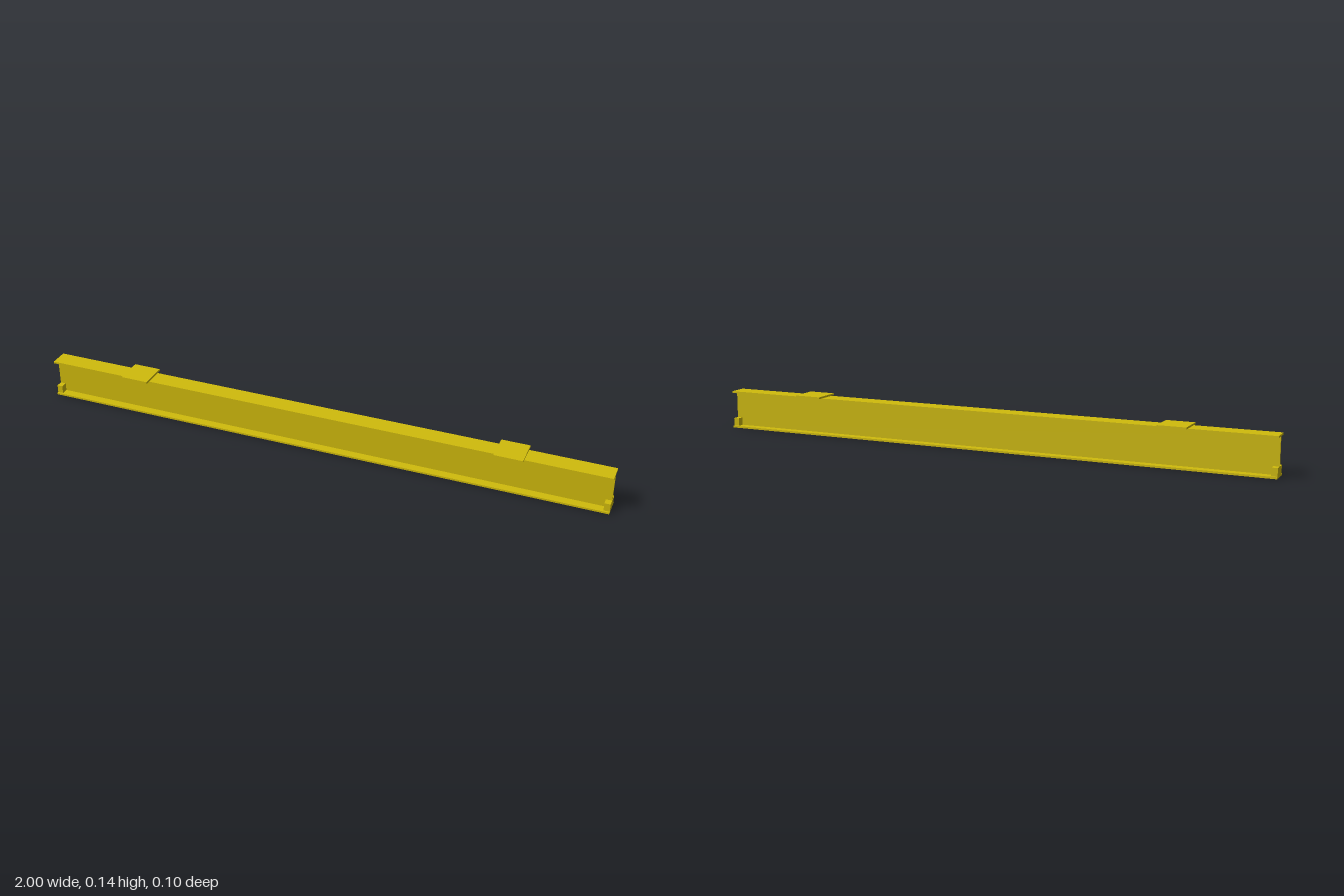
import * as THREE from 'three';

export function createModel() {
  const model = new THREE.Group();
  model.name = 'craneBeam';

  const yellow = new THREE.MeshStandardMaterial({ color: 0xd0bb0c });
  yellow.name = 'safety yellow';

  // Box spanning y0..y1, centred on z = 0
  function addBox(name, x, width, y0, y1, depth) {
    const mesh = new THREE.Mesh(new THREE.BoxGeometry(width, y1 - y0, depth), yellow);
    mesh.position.set(x, (y0 + y1) / 2, 0);
    mesh.name = name;
    model.add(mesh);
  }

  // I-beam: two flanges joined by a thin web
  const flange = 0.0065, flangeDepth = 0.065, beamTop = 0.1345;
  addBox('bottomFlange', 0, 2, 0, flange, flangeDepth);
  addBox('web', 0, 2, flange, beamTop - flange, 0.006);
  addBox('topFlange', 0, 2, beamTop - flange, beamTop, flangeDepth);

  // Mounting plates on top and stop blocks at the ends of the lower flange
  for (const [side, label] of [[1, 'left'], [-1, 'right']]) {
    addBox(label + 'MountingPlate', side * 0.667, 0.097, beamTop, 0.141, 0.099);
    addBox(label + 'EndStop', side * 0.99, 0.02, flange, 0.034, 0.053);
  }

  return model;
}
